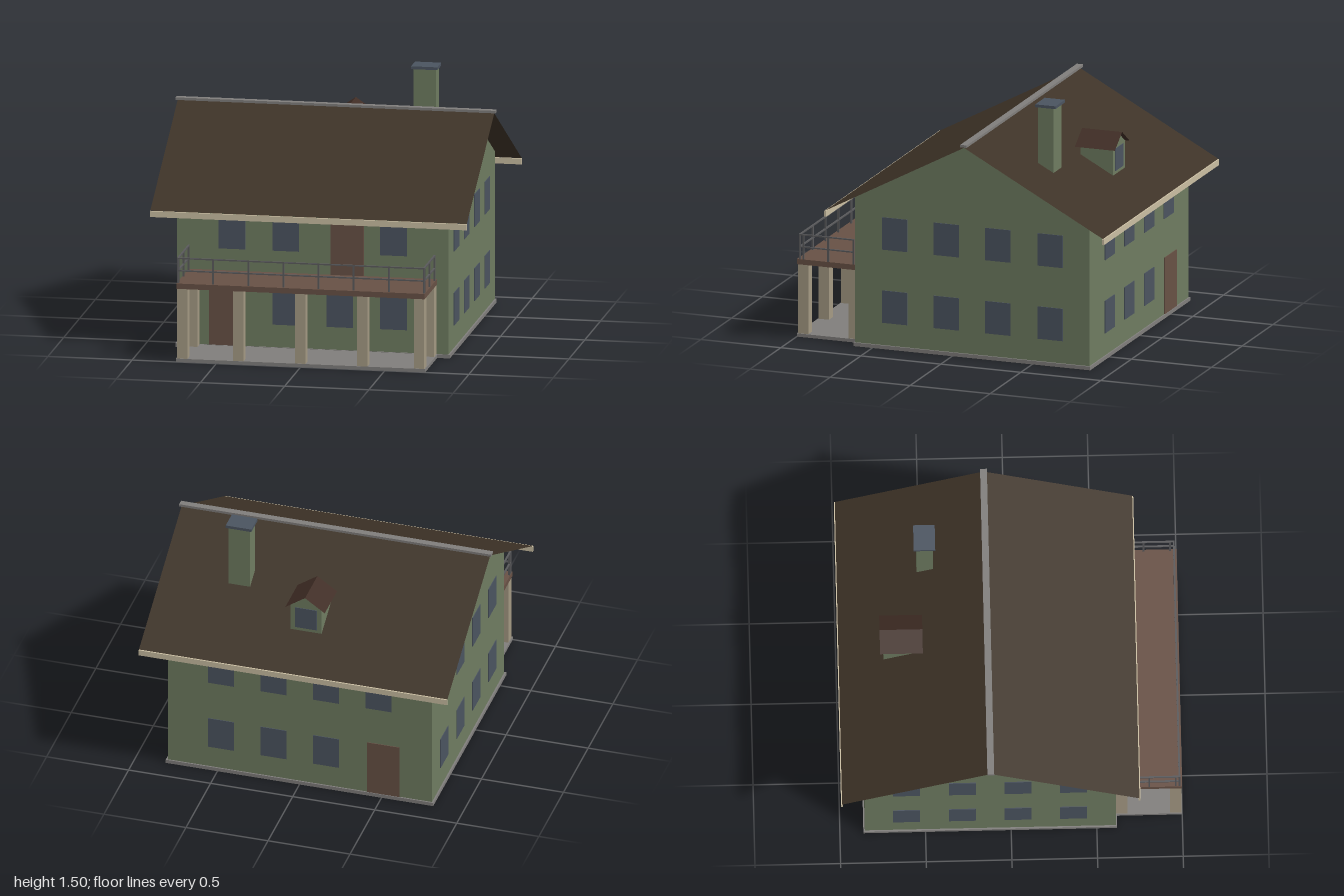
import * as THREE from 'three';

const mat = (name, color, side = THREE.FrontSide) => {
  const m = new THREE.MeshStandardMaterial({ color, side });
  m.name = name;
  return m;
};

export function createModel() {
  const wall = mat('sage wall', 0x6f7c61);
  const roof = mat('dark brown roof', 0x3e3327, THREE.DoubleSide);
  const dormerTile = mat('dormer tile', 0x402d25, THREE.DoubleSide);
  const trim = mat('cream trim', 0xcbbfa3);
  const timber = mat('beige timber', 0xa59a84);
  const wood = mat('red brown wood', 0x685145);
  const glass = mat('slate glass', 0x4b5460);
  const stone = mat('grey stone', 0x807e7c);
  const metal = mat('rail metal', 0x5a5a5c);

  const house = new THREE.Group();
  house.name = 'house';

  const add = (name, geometry, material, parent = house) => {
    const m = new THREE.Mesh(geometry, material);
    m.name = name;
    parent.add(m);
    return m;
  };
  const group = (name) => {
    const g = new THREE.Group();
    g.name = name;
    house.add(g);
    return g;
  };
  // Box given by its lower and upper limits on each axis
  const box = (name, material, x0, x1, y0, y1, z0, z1, parent) => {
    const g = new THREE.BoxGeometry(x1 - x0, y1 - y0, z1 - z0);
    g.translate((x0 + x1) / 2, (y0 + y1) / 2, (z0 + z1) / 2);
    return add(name, g, material, parent);
  };
  // Solid with a five-sided gable outline, extruded along z
  const gable = (half, y0, eave, apex, depth) => {
    const s = new THREE.Shape();
    s.moveTo(-half, y0).lineTo(half, y0).lineTo(half, eave).lineTo(0, apex).lineTo(-half, eave);
    return new THREE.ExtrudeGeometry(s, { depth, bevelEnabled: false });
  };
  // Two sloping sheets meeting at a ridge along z
  const sheets = (half, eave, apex, depth) => {
    const pos = [], index = [];
    for (const side of [-1, 1]) {
      const n = pos.length / 3;
      pos.push(0, apex, 0, 0, apex, depth, side * half, eave, depth, side * half, eave, 0);
      if (side > 0) index.push(n, n + 1, n + 2, n, n + 2, n + 3);
      else index.push(n, n + 2, n + 1, n, n + 3, n + 2);
    }
    const g = new THREE.BufferGeometry();
    g.setAttribute('position', new THREE.Float32BufferAttribute(pos, 3));
    g.setIndex(index);
    g.computeVertexNormals();
    return g;
  };

  // Foundation and gabled body
  const front = 0.61, back = -0.855, ridgeZ = -0.122, sideX = 0.805;
  box('foundation', stone, -0.815, 0.815, 0, 0.022, back - 0.008, front + 0.008);
  box('porchSlab', stone, -0.74, 0.74, 0, 0.02, front, 1);
  const body = add('walls', gable((front - back) / 2, 0.022, 0.908, 1.298, 2 * sideX), wall);
  body.rotation.y = Math.PI / 2;
  body.position.set(-sideX, 0, ridgeZ);

  // Main roof, eaves boards and ridge cap
  const mainRoof = add('mainRoof', sheets(0.868, 0.84, 1.306, 1.88), roof);
  mainRoof.rotation.y = Math.PI / 2;
  mainRoof.position.set(-0.94, 0, ridgeZ);
  for (const z of [ridgeZ + 0.868, ridgeZ - 0.868])
    box('eavesBoard', trim, -0.94, 0.94, 0.803, 0.838, z - 0.006, z + 0.006);
  box('ridgeCap', stone, -0.95, 0.95, 1.31, 1.325, ridgeZ - 0.02, ridgeZ + 0.02);

  // Windows and doors: thin plates on the walls
  const openings = group('openings');
  const t = 0.004, floors = [0.157, 0.6];
  const panel = (name, material, x, y, w, h, z) =>
    box(name, material, x - w / 2, x + w / 2, y, y + h, z - t, z + t, openings);
  const frontWindows = [[-0.16, 0.16, 0.48], [-0.48, -0.16, 0.48]];
  const backWindows = [[-0.16, 0.16, 0.48], [-0.48, -0.16, 0.16, 0.48]];
  floors.forEach((y, i) => {
    for (const x of frontWindows[i]) panel('frontWindow', glass, x, y, 0.158, 0.196, front);
    for (const x of backWindows[i]) panel('backWindow', glass, x, y, 0.158, 0.196, back);
    for (const z of [0.363, 0.04, -0.283, -0.61])
      for (const x of [-sideX, sideX])
        box('sideWindow', glass, x - t, x + t, y, y + 0.196, z - 0.079, z + 0.079, openings);
  });
  panel('frontDoor', wood, -0.517, 0.022, 0.196, 0.342, front);
  panel('balconyDoor', wood, 0.205, 0.47, 0.196, 0.342, front);
  panel('backDoor', wood, -0.51, 0.022, 0.196, 0.342, back);

  // Balcony deck on timber posts
  const balcony = group('balcony');
  box('deck', wood, -0.737, 0.737, 0.438, 0.47, front, 1, balcony);
  for (const x of [-0.703, -0.37, -0.001, 0.366, 0.703])
    box('frontPost', timber, x - 0.031, x + 0.031, 0.02, 0.438, 0.93, 0.996, balcony);
  for (const x of [-0.703, 0.703])
    box('rearPost', timber, x - 0.031, x + 0.031, 0.02, 0.438, 0.614, 0.68, balcony);

  // Railing round three sides
  const r = 0.005, railX = 0.73, railZ = 0.984;
  const bar = (name, x0, x1, y0, y1, z0, z1) =>
    box(name, metal, x0 - r, x1 + r, y0, y1, z0 - r, z1 + r, balcony);
  for (let i = 0; i < 8; i++) {
    const x = -railX + (2 * railX * i) / 7;
    bar('railPost', x, x, 0.47, 0.62, railZ, railZ);
  }
  for (const y of [0.54, 0.614]) {
    bar('frontRail', -railX, railX, y, y + 0.008, railZ, railZ);
    for (const x of [-railX, railX]) bar('sideRail', x, x, y, y + 0.008, 0.65, railZ);
  }
  for (const x of [-railX, railX])
    for (const z of [0.65, 0.807, 0.962]) bar('railPost', x, x, 0.47, 0.62, z, z);

  // Chimney with cap
  box('chimney', wall, 0.402, 0.535, 1.0, 1.482, -0.526, -0.43);
  box('chimneyCap', glass, 0.39, 0.546, 1.48, 1.497, -0.542, -0.416);

  // Dormer on the back slope
  const dormer = group('dormer');
  add('dormerBody', gable(0.095, 0.97, 1.145, 1.21, 0.205), wall, dormer).position.z = -0.73;
  add('dormerRoof', sheets(0.12, 1.138, 1.221, 0.25), dormerTile, dormer).position.z = -0.75;
  box('dormerWindow', glass, -0.066, 0.066, 1.0, 1.135, -0.734, -0.726, dormer);

  return house;
}
